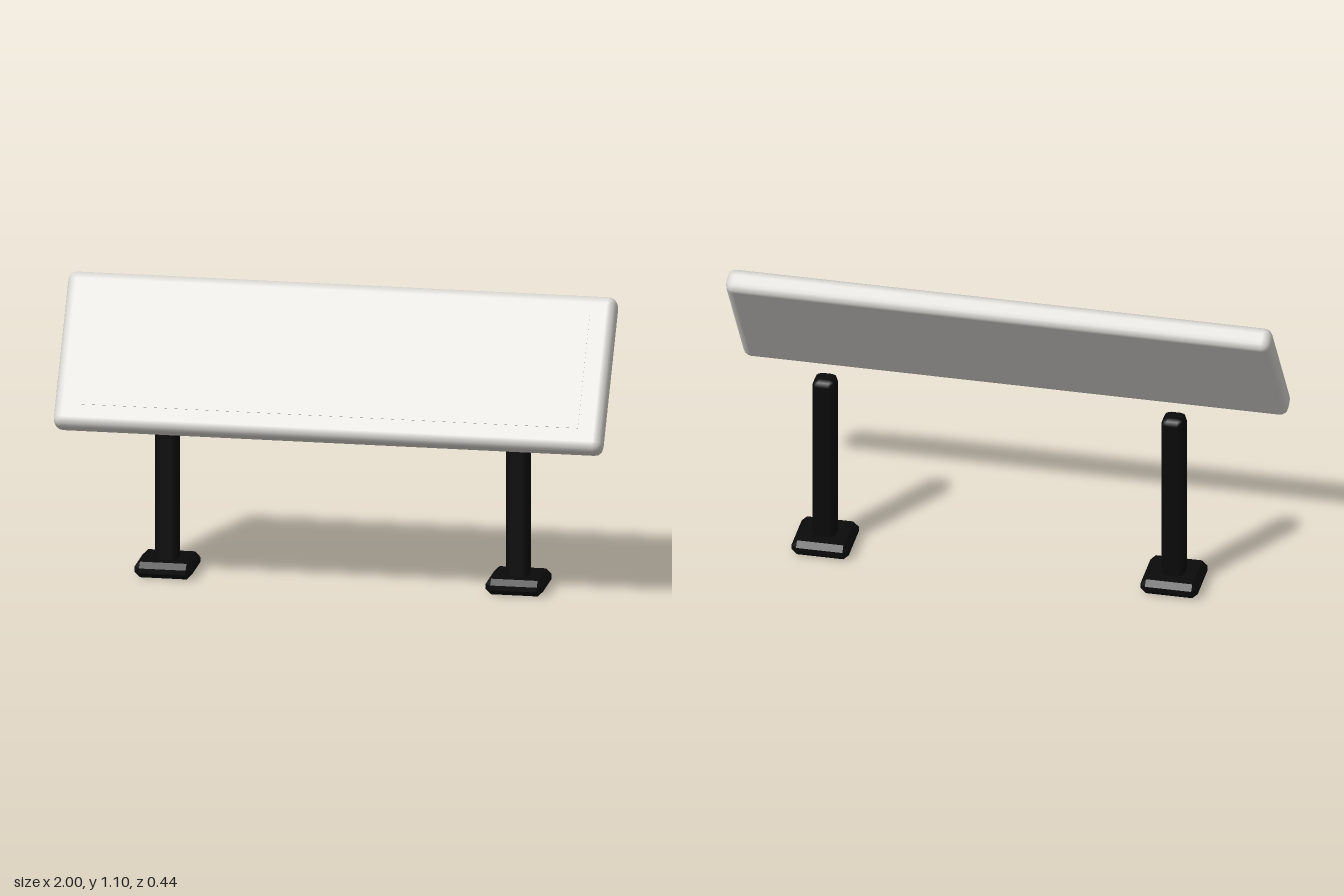
import * as THREE from 'three';
import { RoundedBoxGeometry } from 'three/addons/geometries/RoundedBoxGeometry.js';
import { ConvexGeometry } from 'three/addons/geometries/ConvexGeometry.js';

// Box with flat chamfers of size c on every edge.
function chamferBox(w, h, d, c) {
  const points = [];
  for (const sx of [-1, 1]) for (const sy of [-1, 1]) for (const sz of [-1, 1]) {
    const x = w / 2, y = h / 2, z = d / 2;
    points.push(
      new THREE.Vector3(sx * x, sy * (y - c), sz * (z - c)),
      new THREE.Vector3(sx * (x - c), sy * y, sz * (z - c)),
      new THREE.Vector3(sx * (x - c), sy * (y - c), sz * z)
    );
  }
  return new ConvexGeometry(points);
}

export function createModel() {
  const model = new THREE.Group();
  model.name = 'tiltedSign';

  const paleGrey = new THREE.MeshStandardMaterial({ color: 0xd8d6d1 });
  paleGrey.name = 'paleGrey';
  const black = new THREE.MeshStandardMaterial({ color: 0x0a0a0a });
  black.name = 'black';

  const add = (parent, name, geometry, material, x, y, z) => {
    const mesh = new THREE.Mesh(geometry, material);
    mesh.name = name;
    mesh.position.set(x, y, z);
    parent.add(mesh);
    return mesh;
  };

  // Board leaning back, with a thin flat panel on its face
  const board = new THREE.Group();
  board.name = 'board';
  board.position.set(0, 0.847, 0.028);
  board.rotation.x = -0.6;
  model.add(board);
  add(board, 'boardBody', new RoundedBoxGeometry(2, 0.59, 0.091, 2, 0.032), paleGrey, 0, 0, 0);
  add(board, 'facePanel', new THREE.BoxGeometry(1.82, 0.43, 0.006), paleGrey, 0, 0, 0.044);

  // Two posts standing on chamfered feet
  const postGeometry = new RoundedBoxGeometry(0.085, 0.675, 0.085, 1, 0.024);
  const footGeometry = chamferBox(0.21, 0.058, 0.21, 0.02);
  for (const [side, x] of [['left', 0.64], ['right', -0.64]]) {
    const leg = new THREE.Group();
    leg.name = side + 'Leg';
    leg.position.set(x, 0, -0.114);
    model.add(leg);
    add(leg, side + 'Post', postGeometry, black, 0, 0.3675, 0);
    add(leg, side + 'Foot', footGeometry, black, 0, 0.029, 0);
  }

  return model;
}
